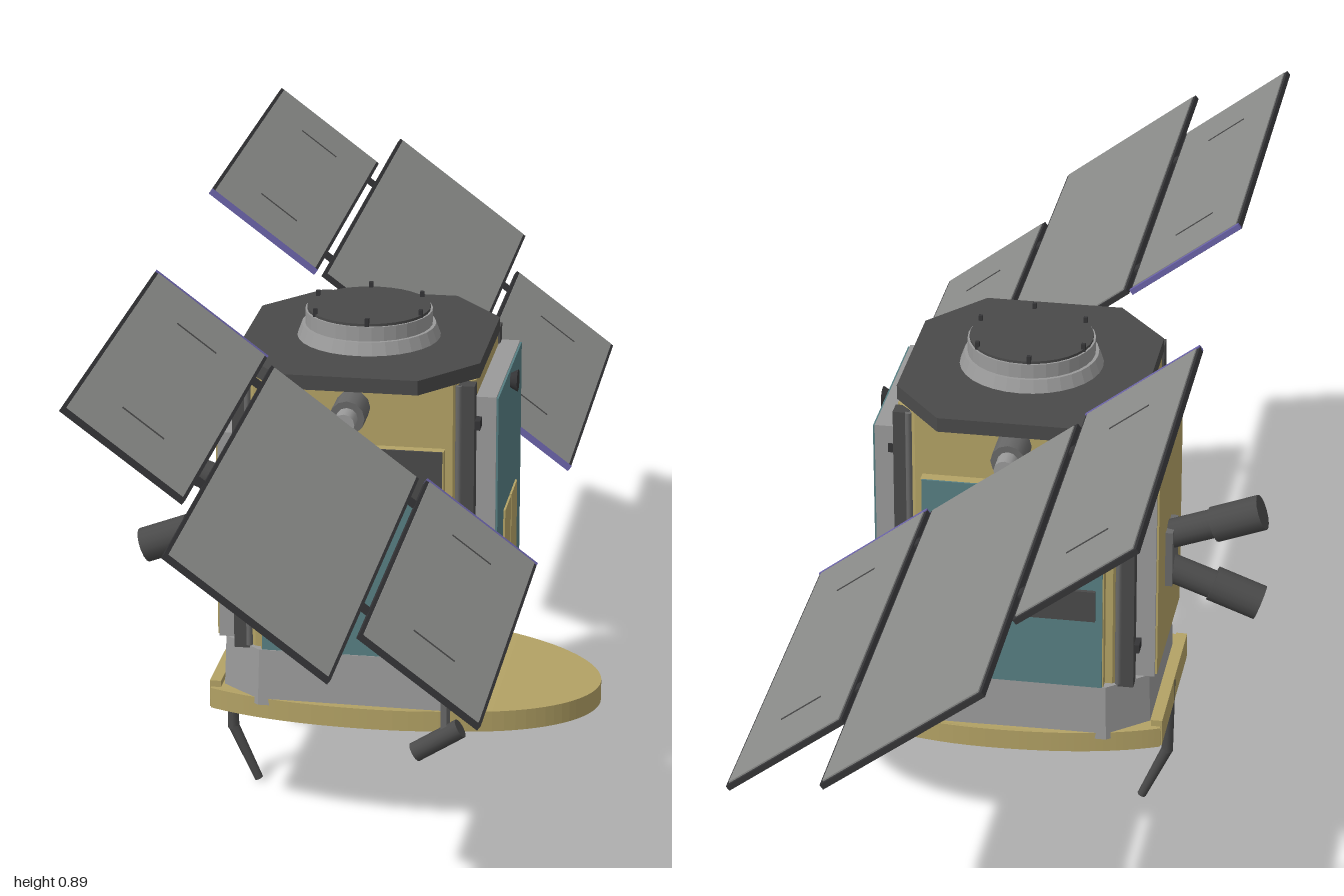
import * as THREE from 'three';

const mat = (name, color, side = THREE.FrontSide) => {
  const m = new THREE.MeshStandardMaterial({ color, side });
  m.name = name;
  return m;
};

export function createModel() {
  const root = new THREE.Group();
  root.name = 'satellite';
  const gold = mat('gold foil', 0xb3a265);
  const teal = mat('teal radiator', 0x577f83);
  const silver = mat('silver blanket', 0x9a9a9a);
  const panelGrey = mat('panel grey', 0x8b8c8a);
  const grey = mat('mid grey', 0x686868);
  const dark = mat('dark grey', 0x4a4a4a);
  const black = mat('charcoal', 0x343436);
  const purple = mat('purple edge', 0x6a62a8);

  const add = (name, geo, m, x = 0, y = 0, z = 0, parent = root) => {
    const mesh = new THREE.Mesh(geo, m);
    mesh.name = name;
    mesh.position.set(x, y, z);
    parent.add(mesh);
    return mesh;
  };
  // box given by its minimum and maximum corners
  const box = (name, m, a, b, parent = root) =>
    add(name, new THREE.BoxGeometry(b[0] - a[0], b[1] - a[1], b[2] - a[2]), m,
      (a[0] + b[0]) / 2, (a[1] + b[1]) / 2, (a[2] + b[2]) / 2, parent);
  // cylinder between two points
  const rod = (name, m, a, b, r0, r1 = r0, sides = 16) => {
    const p = new THREE.Vector3(...a), q = new THREE.Vector3(...b);
    const d = q.clone().sub(p);
    const mesh = add(name, new THREE.CylinderGeometry(r1, r0, d.length(), sides), m);
    mesh.position.copy(p).add(q).multiplyScalar(0.5);
    mesh.quaternion.setFromUnitVectors(new THREE.Vector3(0, 1, 0), d.normalize());
    return mesh;
  };
  // upright prism from a plan shape
  const prism = (name, m, shape, y0, y1) => {
    const g = new THREE.ExtrudeGeometry(shape, { depth: y1 - y0, bevelEnabled: false, curveSegments: 24 });
    g.rotateX(-Math.PI / 2);
    return add(name, g, m, 0, y0, 0);
  };
  const octagon = (hx, hz, cx, cz) => new THREE.Shape([
    [hx, -hz + cz], [hx, hz - cz], [hx - cx, hz], [-hx + cx, hz],
    [-hx, hz - cz], [-hx, -hz + cz], [-hx + cx, -hz], [hx - cx, -hz],
  ].map(([x, z]) => new THREE.Vector2(x, z)));

  // main body with corner posts
  prism('body', gold, octagon(0.178, 0.152, 0.03, 0.03), 0.27, 0.716);
  for (const sx of [-1, 1]) for (const sz of [-1, 1]) {
    box('cornerPost', dark, [sx * 0.168 - 0.012, 0.285, sz * 0.142 - 0.012],
      [sx * 0.168 + 0.012, 0.716, sz * 0.142 + 0.012]);
    rod('postRail', grey, [sx * 0.157, 0.29, sz * 0.153], [sx * 0.157, 0.716, sz * 0.153], 0.005, 0.005, 8);
    for (const y of [0.35, 0.655])
      box('postClip', black, [sx * 0.18 - 0.008, y - 0.007, sz * 0.14 - 0.012],
        [sx * 0.18 + 0.008, y + 0.007, sz * 0.14 + 0.012]);
  }

  // top deck and hatch
  prism('topDeck', dark, octagon(0.182, 0.206, 0.078, 0.095), 0.716, 0.738);
  const ring = [[0, 0.738], [0.107, 0.738], [0.1, 0.757], [0.095, 0.757], [0.095, 0.779], [0, 0.779]]
    .map(([r, y]) => new THREE.Vector2(r, y));
  const ringGeo = new THREE.LatheGeometry(ring, 32).toNonIndexed();
  ringGeo.computeVertexNormals();
  add('hatchRing', ringGeo, silver);
  add('hatchLid', new THREE.CylinderGeometry(0.092, 0.092, 0.004, 32), dark, 0, 0.781, 0);
  for (let i = 0; i < 6; i++) {
    const a = i * Math.PI / 3 + 0.4;
    box('hatchLatch', black, [Math.cos(a) * 0.09 - 0.003, 0.775, Math.sin(a) * 0.09 - 0.003],
      [Math.cos(a) * 0.09 + 0.003, 0.791, Math.sin(a) * 0.09 + 0.003]);
  }

  // silver skirt, with a slight wrinkle in its sides
  const skirt = prism('skirt', silver, octagon(0.202, 0.17, 0.06, 0.05), 0.2, 0.288);
  const sp = skirt.geometry.attributes.position;
  for (let i = 0; i < sp.count; i++) if (sp.getY(i) > 0.04) {
    sp.setX(i, sp.getX(i) * 0.985);
    sp.setZ(i, sp.getZ(i) * 0.98);
  }
  skirt.geometry.computeVertexNormals();

  // shade dish: straight at the right end, long rounded tongue at the left
  const dishShape = new THREE.Shape();
  dishShape.moveTo(-0.22, -0.14);
  dishShape.quadraticCurveTo(-0.12, -0.185, 0.04, -0.185);
  dishShape.bezierCurveTo(0.24, -0.185, 0.357, -0.09, 0.357, 0);
  dishShape.bezierCurveTo(0.357, 0.09, 0.24, 0.185, 0.04, 0.185);
  dishShape.quadraticCurveTo(-0.12, 0.185, -0.22, 0.14);
  const dish = prism('shadeDish', gold, dishShape, 0.178, 0.21);
  const dp = dish.geometry.attributes.position;
  for (let i = 0; i < dp.count; i++)
    dp.setY(i, dp.getY(i) - 0.01 * Math.max(0, (dp.getX(i) - 0.15) / 0.2));
  dish.geometry.computeVertexNormals();
  box('dishLip', gold, [-0.222, 0.178, -0.135], [-0.205, 0.22, 0.135]);

  // front and back equipment boxes
  box('frontBox', gold, [-0.137, 0.29, 0.145], [0.137, 0.617, 0.167]);
  box('frontRadiator', teal, [-0.135, 0.29, 0.166], [0.135, 0.537, 0.17]);
  box('frontRadiatorTop', dark, [-0.135, 0.537, 0.166], [0.135, 0.617, 0.17]);
  box('backBox', gold, [-0.137, 0.29, -0.169], [0.137, 0.617, -0.145]);
  box('backRadiator', teal, [-0.135, 0.29, -0.172], [0.135, 0.617, -0.168]);
  for (const y of [0.405, 0.482])
    box('backStripe', dark, [-0.125, y, -0.178], [0.125, y + 0.05, -0.171]);

  // side slabs
  box('leftSlab', silver, [0.178, 0.31, -0.15], [0.208, 0.69, 0.122]);
  box('leftRadiator', teal, [0.207, 0.312, -0.148], [0.211, 0.688, 0.12]);
  for (const z of [-0.088, -0.015])
    box('leftPatch', gold, [0.21, 0.368, z], [0.214, 0.488, z + 0.066]);
  box('rightSlab', silver, [-0.208, 0.29, -0.125], [-0.178, 0.615, 0.125]);
  box('rightFoil', gold, [-0.211, 0.292, -0.12], [-0.207, 0.613, 0.12]);
  rod('sunSensor', black, [0.205, 0.67, -0.02], [0.222, 0.67, -0.02], 0.008, 0.017, 12);

  // twin star trackers
  for (const s of [-1, 1]) {
    const p = (x, d) => [x, 0.45 + s * d, -0.02];
    rod('trackerBase', dark, p(-0.205, 0.025), p(-0.282, 0.053), 0.022);
    rod('trackerHood', dark, p(-0.28, 0.05), p(-0.352, 0.077), 0.027);
  }
  box('trackerMount', grey, [-0.222, 0.405, -0.05], [-0.205, 0.495, 0.01]);

  // bent boom under the right end
  rod('boomUpper', dark, [-0.216, 0.215, 0], [-0.212, 0.087, 0], 0.007, 0.009, 8);
  rod('boomLower', dark, [-0.212, 0.09, 0], [-0.173, 0.004, 0], 0.009, 0.007, 8);

  // small front thruster on a bracket
  box('thrusterBracket', grey, [0.141, 0.185, 0.166], [0.15, 0.255, 0.212]);
  rod('thruster', dark, [0.102, 0.155, 0.207], [0.17, 0.198, 0.207], 0.015);

  // tilted solar wings
  const wings = new THREE.Group();
  wings.name = 'solarWings';
  wings.position.set(0, 0.675, 0);
  wings.rotation.z = -Math.atan2(0.42, 0.56);
  root.add(wings);
  for (const s of [-1, 1]) {
    const span = (name, m, u0, u1, y0, y1, z0, z1) =>
      box(name, m, [u0, y0, Math.min(s * z0, s * z1)], [u1, y1, Math.max(s * z0, s * z1)], wings);
    for (const [u0, u1, z0, z1] of [[-0.135, 0.135, 0.228, 1], [-0.35, -0.146, 0.212, 0.82], [0.146, 0.35, 0.212, 0.82]]) {
      span('panelFrame', black, u0, u1, -0.005, 0.003, z0, z1);
      span('panelFace', panelGrey, u0 + 0.005, u1 - 0.005, 0.002, 0.005, z0 + 0.005, z1 - 0.005);
      if (z1 < 1) {
        span('panelEdge', purple, u0, u1, -0.004, 0.0045, z0 - 0.003, z0 + 0.003);
        const c = (u0 + u1) / 2;
        for (const z of [0.33, 0.7])
          span('panelWire', dark, c - 0.035, c + 0.035, 0.004, 0.006, z, z + 0.003);
      }
    }
    for (const u of [-0.141, 0.141]) for (const z of [0.3, 0.72])
      span('panelHinge', black, u - 0.012, u + 0.012, -0.004, 0.001, z, z + 0.02);
    // drive shaft between the body and the wing
    rod('wingDrive', grey, [0, 0.675, s * 0.145], [0, 0.675, s * 0.205], 0.026, 0.026, 12);
    rod('wingShaft', silver, [0, 0.675, s * 0.2], [0, 0.675, s * 0.235], 0.016, 0.016, 12);
  }
  return root;
}
